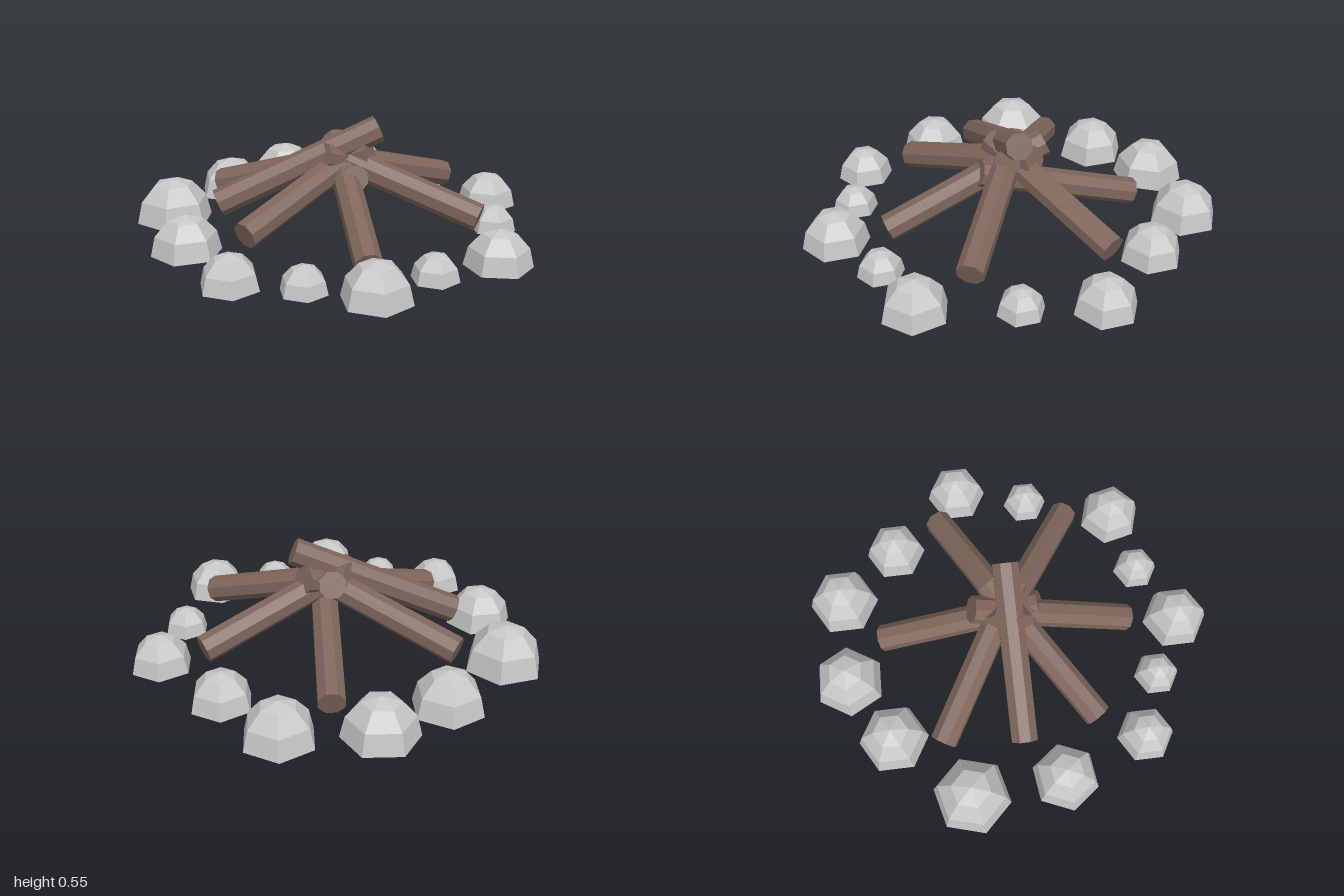
import * as THREE from 'three';

export function createModel() {
  const model = new THREE.Group();
  model.name = 'campfire';

  const wood = new THREE.MeshStandardMaterial({ color: 0x7e665b, flatShading: true });
  wood.name = 'brown wood';
  const rock = new THREE.MeshStandardMaterial({ color: 0xc6c6c6, flatShading: true, side: THREE.DoubleSide });
  rock.name = 'grey stone';

  // Logs: eight-sided bars leaning together, given by lower and upper end centres
  const logs = [
    [[-0.575, 0.18, -0.01], [0.2, 0.505, -0.01]],
    [[-0.49, 0.15, 0.355], [0.155, 0.395, -0.1]],
    [[-0.53, 0.16, -0.39], [0.15, 0.4, 0.03]],
    [[0.6, 0.15, 0.34], [-0.07, 0.4, -0.08]],
    [[0.62, 0.16, -0.31], [-0.08, 0.4, 0.04]],
    [[0.055, 0.065, -0.65], [0.055, 0.31, 0.14]],
    [[0.02, 0.065, 0.585], [0.025, 0.41, -0.19]],
  ];
  const logPile = new THREE.Group();
  logPile.name = 'logPile';
  for (const [low, high] of logs) {
    const a = new THREE.Vector3(...low);
    const b = new THREE.Vector3(...high);
    const geometry = new THREE.CylinderGeometry(0.066, 0.066, a.distanceTo(b), 8);
    geometry.rotateY(Math.PI / 8).rotateX(Math.PI / 2);
    const log = new THREE.Mesh(geometry, wood);
    log.name = 'log';
    log.position.copy(a).lerp(b, 0.5);
    log.lookAt(b);
    logPile.add(log);
  }
  model.add(logPile);

  // Stones: open six-sided domes in a ring, as x, z, radius, turn
  const stones = [
    [0.285, -0.83, 0.17, 0], [0.535, -0.545, 0.148, 0], [0.83, -0.2, 0.148, 0],
    [0.74, 0.155, 0.11, 0], [0.61, 0.59, 0.157, 0.23], [0.295, 0.675, 0.11, 0],
    [0, 0.83, 0.16, 0], [-0.28, 0.69, 0.11, 0], [-0.58, 0.585, 0.138, 0],
    [-0.74, 0.17, 0.165, -0.4], [-0.775, -0.285, 0.19, -0.28],
    [-0.455, -0.635, 0.17, 0], [-0.14, -0.83, 0.175, 0.5],
  ];
  const profile = [0, 30, 60, 90].map((deg) => {
    const t = THREE.MathUtils.degToRad(deg);
    return new THREE.Vector2(deg === 90 ? 0 : Math.cos(t), Math.sin(t));
  });
  const dome = new THREE.LatheGeometry(profile, 6);
  const stoneRing = new THREE.Group();
  stoneRing.name = 'stoneRing';
  for (const [x, z, r, turn] of stones) {
    const stone = new THREE.Mesh(dome, rock);
    stone.name = 'stone';
    stone.position.set(x, 0.015, z);
    stone.scale.set(r, r * 1.13, r);
    stone.rotation.y = turn;
    stoneRing.add(stone);
  }
  model.add(stoneRing);

  return model;
}
